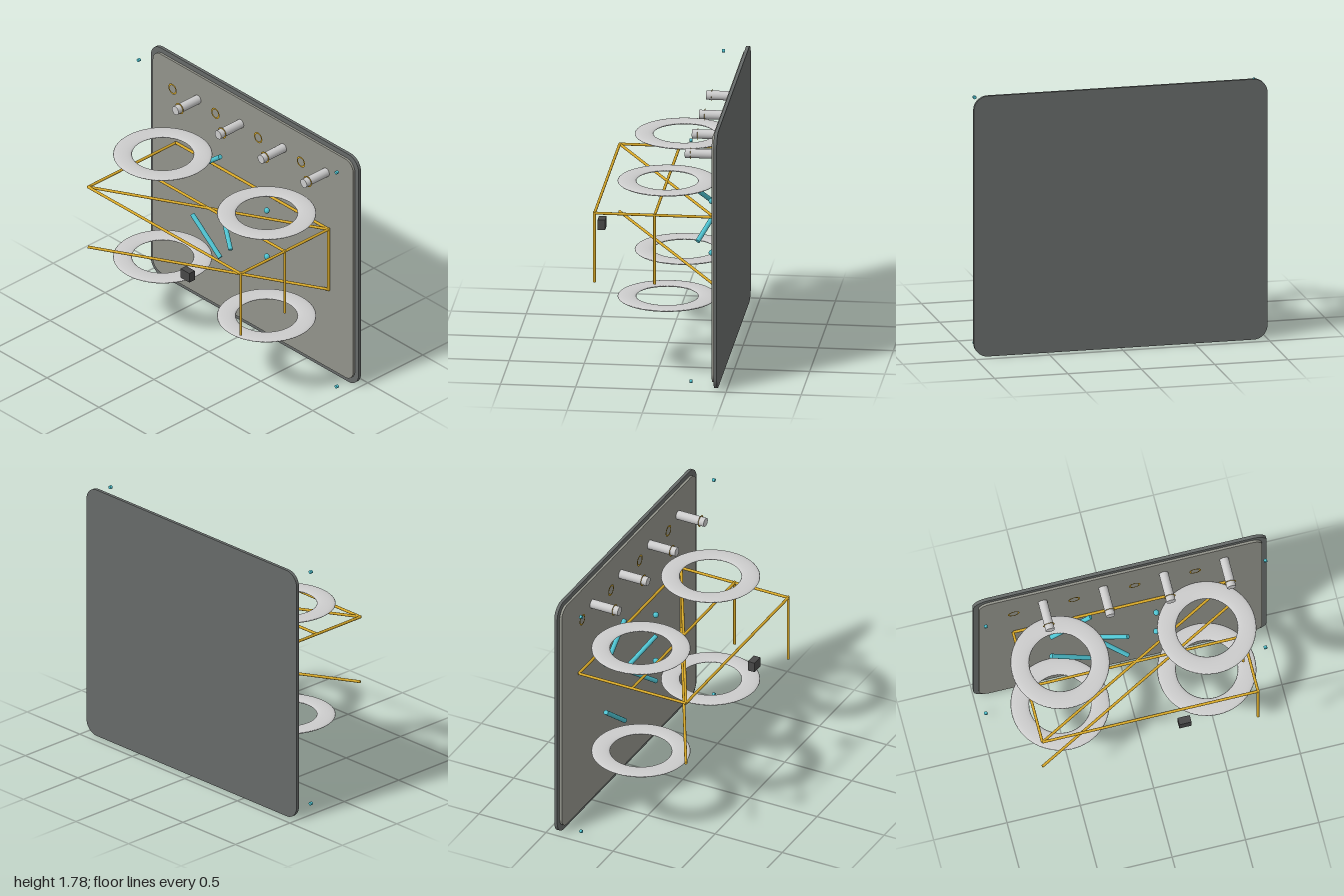
import * as THREE from 'three';

const mat = (color, side = THREE.FrontSide) => new THREE.MeshStandardMaterial({ color, side });
const V = (x, y, z) => new THREE.Vector3(x, y, z);

export function createModel() {
  const model = new THREE.Group();
  const grey = mat(0xcccccc), dark = mat(0x666a69), panel = mat(0x92938a);
  const gold = mat(0xd6a728), goldFlat = mat(0xd6a728, THREE.DoubleSide);
  const cyan = mat(0x4fc4d2), black = mat(0x484848);

  function add(parent, name, geometry, material, x = 0, y = 0, z = 0) {
    const mesh = new THREE.Mesh(geometry, material);
    mesh.name = name;
    mesh.position.set(x, y, z);
    parent.add(mesh);
    return mesh;
  }
  function group(name) {
    const g = new THREE.Group();
    g.name = name;
    model.add(g);
    return g;
  }
  // straight round bar between two points
  function rod(parent, name, a, b, radius, material) {
    const dir = b.clone().sub(a);
    const mesh = add(parent, name, new THREE.CylinderGeometry(radius, radius, dir.length(), 12), material);
    mesh.position.copy(a).add(b).multiplyScalar(0.5);
    mesh.quaternion.setFromUnitVectors(V(0, 1, 0), dir.normalize());
  }
  // upright slab with rounded corners
  function slab(name, w, h, r, zBack, depth, material) {
    const s = new THREE.Shape(), x = w / 2 - r, y = h / 2 - r;
    s.absarc(x, y, r, 0, Math.PI / 2);
    s.absarc(-x, y, r, Math.PI / 2, Math.PI);
    s.absarc(-x, -y, r, Math.PI, Math.PI * 1.5);
    s.absarc(x, -y, r, Math.PI * 1.5, Math.PI * 2);
    const geo = new THREE.ExtrudeGeometry(s, { depth, bevelEnabled: false, curveSegments: 10 });
    add(model, name, geo, material, 0, 0.89, zBack);
  }

  // backing plate and raised front panel
  slab('backPlate', 2, 1.78, 0.095, -0.438, 0.022, dark);
  slab('frontPanel', 1.93, 1.71, 0.075, -0.416, 0.016, panel);

  // four flattened horizontal hoops
  const hoops = group('hoops');
  for (const x of [-0.5, 0.5]) for (const y of [0.49, 1.293]) {
    const geo = new THREE.TorusGeometry(0.266, 0.062, 16, 64);
    geo.rotateX(Math.PI / 2).scale(1, 0.19, 1);
    add(hoops, 'hoop', geo, grey, x, y, -0.052);
  }

  // row of eyelets, every second one carrying a peg
  const row = group('pegRow');
  for (let i = 0; i < 8; i++) {
    const x = -0.737 + i * 0.206, hasPeg = i % 2 === 1;
    add(row, 'eyelet', new THREE.RingGeometry(0.028, 0.04, 32), goldFlat, x, 1.557, hasPeg ? -0.232 : -0.365);
    if (hasPeg) {
      const geo = new THREE.CylinderGeometry(0.031, 0.031, 0.205, 24).rotateX(Math.PI / 2);
      add(row, 'peg', geo, grey, x, 1.557, -0.2975);
    }
  }

  // gold wire frame: top rectangle, middle bar, posts and two diagonals
  const frame = group('wireFrame');
  const X = 0.735, top = 1.127, low = 0.657, front = 0.405, back = -0.392, R = 0.0095;
  for (const z of [front, 0.005, back]) {
    rod(frame, 'longBar', V(-X, top, z), V(X, top, z), R, gold);
    rod(frame, 'post', V(X, low - R, z), V(X, top + R, z), R, gold);
  }
  for (const x of [-X, X]) rod(frame, 'sideBar', V(x, top, back), V(x, top, front), R, gold);
  for (const y of [top, low]) rod(frame, 'diagonalBar', V(-X, y, front), V(X, y, back), R, gold);

  // small block at the front of the frame
  add(model, 'frontBlock', new THREE.BoxGeometry(0.083, 0.07, 0.05), black, 0.232, 0.893, 0.412);

  // cyan struts and beads, mirrored about mid height
  const struts = group('struts');
  const mid = 0.89;
  for (const s of [1, -1]) {
    rod(struts, 'outerStrut', V(-0.495, mid + s * 0.18, -0.316), V(-0.225, mid + s * 0.395, -0.316), 0.016, cyan);
    rod(struts, 'innerStrut', V(-0.22, mid, -0.318), V(0, mid + s * 0.178, -0.197), 0.016, cyan);
    add(struts, 'bead', new THREE.SphereGeometry(0.02, 16, 12), cyan, 0.222, mid + s * 0.18, -0.316);
  }
  add(struts, 'elbow', new THREE.SphereGeometry(0.016, 12, 8), cyan, -0.22, mid, -0.318);

  // corner studs floating ahead of the panel
  for (const x of [-0.953, 0.953]) for (const y of [0.053, 1.73]) {
    const geo = new THREE.CylinderGeometry(0.0115, 0.0115, 0.018, 12).rotateX(Math.PI / 2);
    add(model, 'cornerStud', geo, cyan, x, y, -0.262);
  }
  return model;
}
